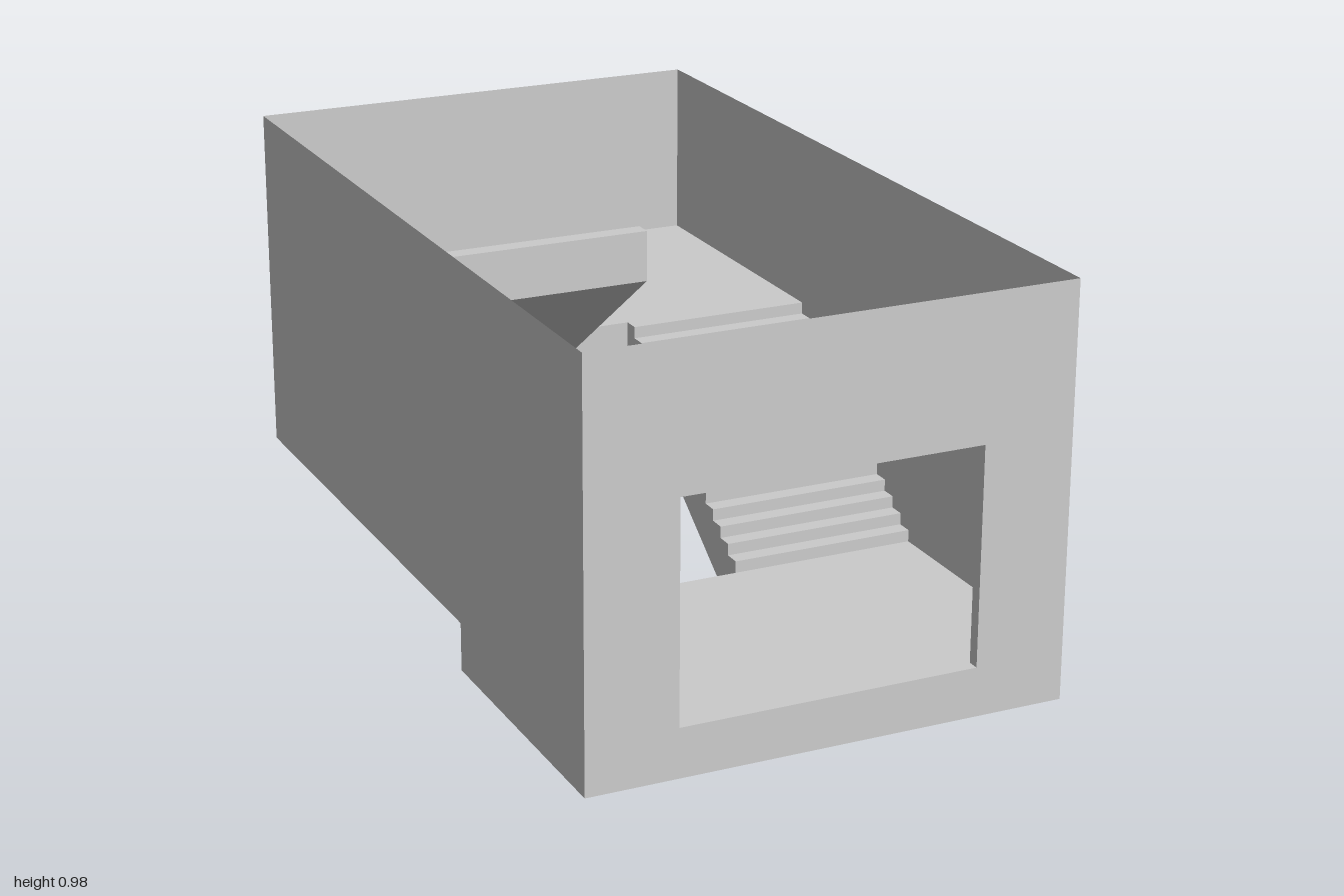
import * as THREE from 'three';

const W = 0.578;          // half width of the stairwell
const H = 0.984;          // top of the walls
const T = 0.117;          // landing thickness
const Z = 0.305;          // half length of each flight
const GAP = 0.115;        // half width of the open well
const STEPS = 15;
const RISE = (H - T) / 2; // height climbed by one flight

export function createModel() {
  const model = new THREE.Group();
  const solid = new THREE.MeshStandardMaterial({ color: 0xcccccc });
  const thin = new THREE.MeshStandardMaterial({ color: 0xcccccc, side: THREE.DoubleSide });

  const add = (name, geometry, material = solid) => {
    const mesh = new THREE.Mesh(geometry, material);
    mesh.name = name;
    model.add(mesh);
    return mesh;
  };

  const rectangle = (Type, x0, y0, x1, y1) => {
    const path = new Type();
    path.moveTo(x0, y0);
    path.lineTo(x1, y0);
    path.lineTo(x1, y1);
    path.lineTo(x0, y1);
    path.closePath();
    return path;
  };

  // Landings: low one at the front, middle one at the back
  const landing = (name, bottom, side) => {
    const depth = 1 - Z;
    add(name, new THREE.BoxGeometry(2 * W, T, depth))
      .position.set(0, bottom + T / 2, side * (Z + depth / 2));
  };
  landing('lowerLanding', 0, 1);
  landing('middleLanding', RISE, -1);

  // Flights: stepped profile with a sloping underside, dir is the travel along z
  const flight = (name, base, dir, xMin, xMax) => {
    const run = 2 * Z / STEPS, rise = RISE / STEPS;
    const points = [new THREE.Vector2(-dir * Z, base)];
    points.push(new THREE.Vector2(-dir * Z, base + T));
    for (let i = 0; i < STEPS; i++) {
      const y = base + T + (i + 1) * rise;
      points.push(new THREE.Vector2(dir * (-Z + i * run), y));
      points.push(new THREE.Vector2(dir * (-Z + (i + 1) * run), y));
      if (i === STEPS - 1) points.push(new THREE.Vector2(dir * Z, base + RISE));
    }
    const geometry = new THREE.ExtrudeGeometry(new THREE.Shape(points), {
      depth: xMax - xMin, bevelEnabled: false,
    });
    geometry.rotateY(-Math.PI / 2).translate(xMax, 0, 0);
    add(name, geometry);
  };
  flight('lowerFlight', 0, -1, GAP, W);
  flight('upperFlight', RISE, 1, -W, -GAP);

  // Thin enclosing walls
  const wallHeight = H - T, wallY = T + wallHeight / 2;
  for (const [name, side] of [['leftWall', 1], ['rightWall', -1]]) {
    const wall = add(name, new THREE.PlaneGeometry(2, wallHeight), thin);
    wall.rotation.y = side * Math.PI / 2;
    wall.position.set(side * W, wallY, 0);
  }
  const backWall = add('backWall', new THREE.PlaneGeometry(2 * W, wallHeight), thin);
  backWall.rotation.y = Math.PI;
  backWall.position.set(0, wallY, -1);

  // Front wall with the window opening
  const front = rectangle(THREE.Shape, -W, T, W, H);
  front.holes.push(rectangle(THREE.Path, -0.36, T + 0.001, 0.36, 0.64));
  add('frontWall', new THREE.ShapeGeometry(front), thin).position.z = 1;

  // Window frame set against the inside of the front wall
  const frame = rectangle(THREE.Shape, -0.382, T - 0.02, 0.382, 0.66);
  frame.holes.push(rectangle(THREE.Path, -0.36, T + 0.001, 0.36, 0.64));
  add('windowFrame', new THREE.ExtrudeGeometry(frame, { depth: 0.029, bevelEnabled: false }))
    .position.z = 0.97;

  return model;
}
